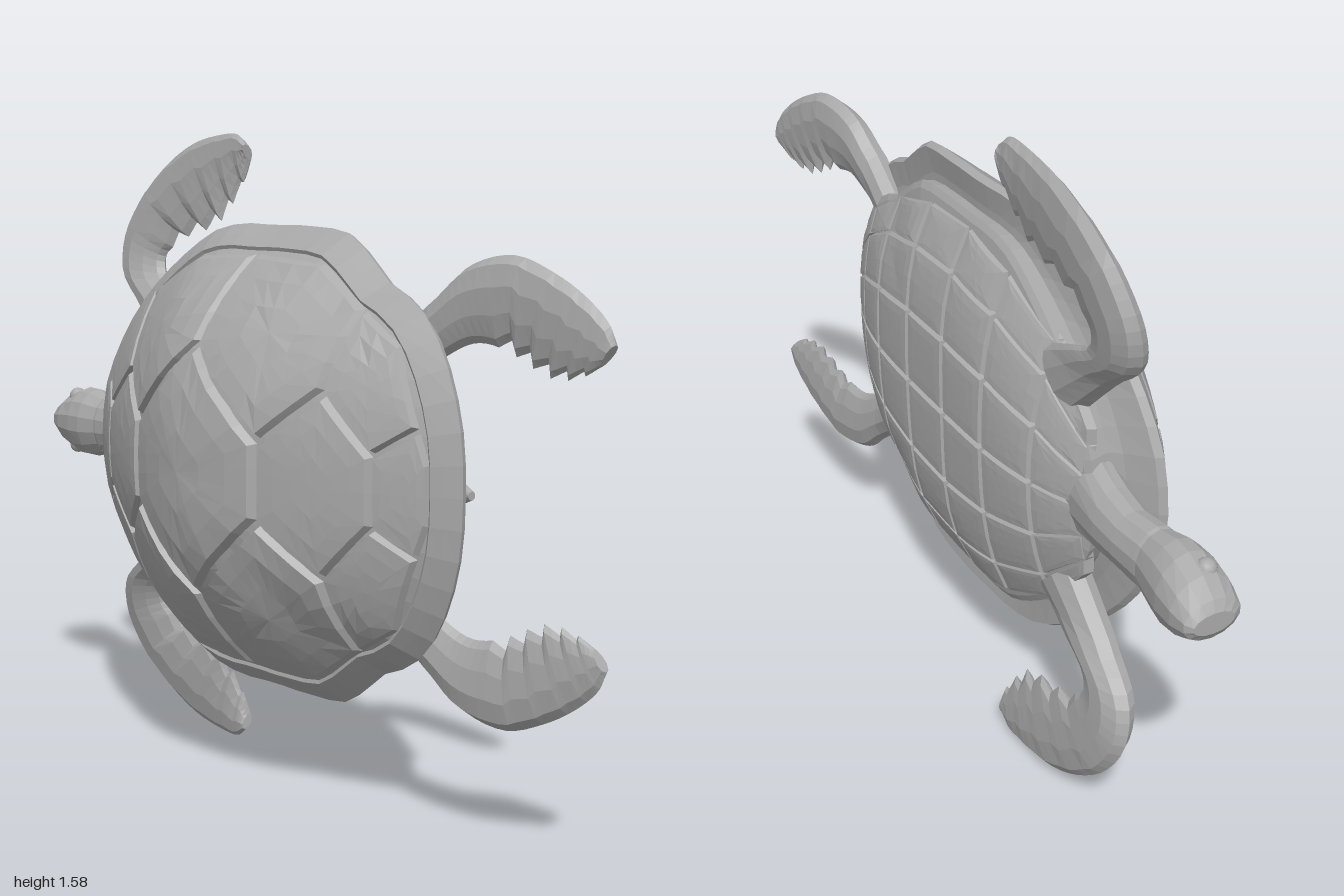
import * as THREE from 'three';

const MID_Y = 0.793; // height of the spine line
const CX = 0.03;     // centre of the shell along x
const V = (x, h, z) => new THREE.Vector3(x, MID_Y + h, z);

// Half outline of the shell from tail to head: x, distance from the spine
const OUTLINE = [[0.71, 0], [0.70, 0.13], [0.66, 0.25], [0.58, 0.37], [0.50, 0.42], [0.42, 0.45],
  [0.36, 0.50], [0.28, 0.55], [0.13, 0.563], [0, 0.562], [-0.2, 0.555], [-0.35, 0.47],
  [-0.45, 0.39], [-0.55, 0.27], [-0.62, 0.14], [-0.64, 0]];
const POLAR = OUTLINE.map(([x, h]) => [Math.atan2(h, x - CX), Math.hypot(x - CX, h)]);

function radius(a) {
  a = Math.abs(Math.atan2(Math.sin(a), Math.cos(a)));
  for (let i = 1; i < POLAR.length; i++) {
    const [a0, r0] = POLAR[i - 1], [a1, r1] = POLAR[i];
    if (a <= a1 + 1e-6) return r0 + (r1 - r0) * (a - a0) / (a1 - a0);
  }
  return POLAR[POLAR.length - 1][1];
}
const rimZ = (a) => -0.02 - 0.02 * Math.cos(a) - 0.07 * Math.sin(a) ** 2;
const domeZ = (a, t) => 0.23 - (0.23 - rimZ(a)) * t ** (1.6 + 0.9 * Math.sin(a) ** 2);
const bellyZ = (a, t) => -0.13 - 0.095 * (1 - Math.min(t, 1) ** 3.5);
const BELLY = 0.86; // belly outline relative to the shell outline

// Height of the upper or lower shell over a point of the side plane
function surface(fn, scale) {
  return (x, h) => {
    const a = Math.atan2(h, x - CX);
    return fn(a, Math.hypot(x - CX, h) / (radius(a) * scale));
  };
}
const topZ = surface(domeZ, 1);
const bottomZ = surface(bellyZ, BELLY);

function faceted(points, index) {
  const g = new THREE.BufferGeometry().setFromPoints(points);
  g.setIndex(index);
  const flat = g.toNonIndexed();
  flat.computeVertexNormals();
  return flat;
}

// Closed skin over a list of rings, capped at both ends and turned outwards
function skin(rings) {
  const n = rings[0].length, pts = rings.flat(), idx = [];
  for (let r = 0; r < rings.length - 1; r++) {
    for (let i = 0; i < n; i++) {
      const a = r * n + i, b = r * n + (i + 1) % n;
      idx.push(a, b, b + n, a, b + n, a + n);
    }
  }
  const cap = (ring, base, flip) => {
    const c = ring.reduce((s, p) => s.add(p), new THREE.Vector3()).divideScalar(n);
    const k = pts.push(c) - 1;
    for (let i = 0; i < n; i++) {
      const a = base + i, b = base + (i + 1) % n;
      idx.push(k, flip ? b : a, flip ? a : b);
    }
  };
  cap(rings[0], 0, true);
  cap(rings[rings.length - 1], (rings.length - 1) * n, false);
  let vol = 0;
  const cross = new THREE.Vector3();
  for (let i = 0; i < idx.length; i += 3) {
    vol += pts[idx[i]].dot(cross.crossVectors(pts[idx[i + 1]], pts[idx[i + 2]]));
  }
  if (vol < 0) idx.reverse();
  return faceted(pts, idx);
}

// Shell ring at a fraction of the outline
function shellRing(t, zFn) {
  return Array.from({ length: 60 }, (_, i) => {
    const a = i / 60 * Math.PI * 2, r = radius(a) * t;
    return V(CX + Math.cos(a) * r, Math.sin(a) * r, zFn(a));
  });
}

// Raised plate following a shell surface, with bevelled edges
function scute(poly, zFn, side) {
  const area = poly.reduce((s, p, i) => {
    const q = poly[(i + 1) % poly.length];
    return s + p[0] * q[1] - q[0] * p[1];
  }, 0);
  const loop = area * side > 0 ? poly : [...poly].reverse();
  const cx = loop.reduce((s, p) => s + p[0], 0) / loop.length;
  const ch = loop.reduce((s, p) => s + p[1], 0) / loop.length;
  const edge = loop.flatMap((p, i) => {
    const q = loop[(i + 1) % loop.length];
    const n = Math.max(1, Math.round(Math.hypot(q[0] - p[0], q[1] - p[1]) / 0.07));
    return Array.from({ length: n }, (_, k) =>
      [p[0] + (q[0] - p[0]) * k / n, p[1] + (q[1] - p[1]) * k / n]);
  });
  const n = edge.length, pts = [V(cx, ch, zFn(cx, ch) + side * 0.004)], idx = [];
  [0.33, 0.66, 0.91, 0.98].forEach((s, r) => {
    edge.forEach(([ex, eh], i) => {
      const x = cx + (ex - cx) * s, h = ch + (eh - ch) * s;
      pts.push(V(x, h, zFn(x, h) + side * [0.004, 0.004, 0.003, -0.02][r]));
      const a = 1 + r * n + i, b = 1 + r * n + (i + 1) % n;
      if (r === 0) idx.push(0, a, b);
      else idx.push(a - n, a, b, a - n, b, b - n);
    });
  });
  return faceted(pts, idx);
}

// Flipper lofted between a leading and a trailing edge, with a toothed trailing edge
function flipper(lead, trail, zFn, thick, mirror) {
  const curve = (list) => new THREE.CatmullRomCurve3(list.map(([x, h]) => new THREE.Vector3(x, h, 0)));
  const A = curve(lead), B = curve(trail), n = 30, rings = [];
  for (let i = 0; i <= n; i++) {
    const t = i / n, a = A.getPoint(t), b = B.getPoint(t);
    if (t > 0.42 && t < 0.88) b.lerp(a, (i % 3) * 0.07);
    const half = thick * (1 - 0.65 * t);
    rings.push(Array.from({ length: 10 }, (_, k) => {
      const w = k / 10 * Math.PI * 2, u = 0.5 - 0.5 * Math.cos(w);
      const p = a.clone().lerp(b, u);
      return V(p.x, p.y * mirror, zFn(p.x, p.y, u) + Math.sin(w) * half * (1.15 - 0.5 * u));
    }));
  }
  return skin(rings);
}

// Body part along x from oval sections: x, centre z, half width, half depth
function ovals(sections) {
  return skin(sections.map(([x, z, ry, rz]) => Array.from({ length: 14 }, (_, i) => {
    const a = i / 14 * Math.PI * 2;
    return V(x, Math.cos(a) * ry, z + Math.sin(a) * rz);
  })));
}

export function createModel() {
  const turtle = new THREE.Group();
  turtle.name = 'seaTurtle';
  const grey = new THREE.MeshStandardMaterial({ color: 0xaaaaaa });
  grey.name = 'grey';
  const add = (name, geometry) => {
    const mesh = new THREE.Mesh(geometry, grey);
    mesh.name = name;
    turtle.add(mesh);
    return mesh;
  };

  // Upper shell: underside, rim, marginal band and sunken bed for the plates
  const bed = [0.895, 0.8, 0.7, 0.6, 0.5, 0.4, 0.3, 0.2, 0.1];
  add('carapace', skin([
    shellRing(0.8, () => -0.1), shellRing(0.88, (a) => rimZ(a) * 0.5 - 0.055),
    shellRing(0.985, (a) => rimZ(a) - 0.018), shellRing(1, rimZ),
    shellRing(0.95, (a) => domeZ(a, 0.95)), shellRing(0.91, (a) => domeZ(a, 0.91)),
    ...bed.map((t) => shellRing(t, (a) => domeZ(a, t) - 0.013))]));

  // Plates along the spine (upper halves, mirrored into full polygons)
  const spine = [
    [[-0.47, 0.10], [-0.535, 0.165], [-0.575, 0.09]],
    [[-0.19, 0.10], [-0.32, 0.21], [-0.47, 0.10]],
    [[0.27, 0.09], [0.03, 0.30], [-0.19, 0.10]],
    [[0.53, 0.08], [0.41, 0.21], [0.27, 0.09]],
    [[0.64, 0.07], [0.615, 0.14], [0.53, 0.08]]];
  spine.forEach((half) => {
    const other = half.map(([x, h]) => [x, -h]).reverse();
    add('vertebralScute', scute([...half, ...other], topZ, 1));
  });
  // Plates on both flanks
  const flank = [
    [[-0.47, 0.10], [-0.32, 0.21], [-0.37, 0.405], [-0.46, 0.33], [-0.535, 0.165]],
    [[-0.32, 0.21], [-0.19, 0.10], [0.03, 0.30], [0.03, 0.505], [-0.18, 0.495], [-0.37, 0.405]],
    [[0.03, 0.30], [0.27, 0.09], [0.41, 0.21], [0.42, 0.39], [0.27, 0.49], [0.03, 0.505]],
    [[0.41, 0.21], [0.53, 0.08], [0.615, 0.14], [0.54, 0.32], [0.42, 0.39]]];

  // Lower shell with its grid of plates
  add('plastron', skin([
    shellRing(BELLY * 0.97, () => -0.07), shellRing(BELLY, () => -0.13),
    ...[0.97, 0.9, 0.8, 0.65, 0.5, 0.3, 0.1].map((t) =>
      shellRing(BELLY * t, (a) => bellyZ(a, t) + (t < 0.95 ? 0.012 : 0)))]));
  const xs = [-0.52, -0.38, -0.2, -0.02, 0.16, 0.34, 0.47, 0.58];
  const halfWidth = (x) => 0.465 * Math.sqrt(1 - ((x - CX) / 0.6) ** 2);

  for (const s of [1, -1]) {
    const side = s > 0 ? 'upper' : 'lower';
    flank.forEach((p) => add(side + 'CostalScute', scute(p.map(([x, h]) => [x, h * s]), topZ, 1)));
    for (let i = 0; i < xs.length - 1; i++) {
      const [x0, x1] = [xs[i], xs[i + 1]], w0 = halfWidth(x0) * s, w1 = halfWidth(x1) * s;
      for (const [f, g] of [[0, 0.42], [0.42, 0.78], [0.78, 1]]) {
        add(side + 'BellyScute',
          scute([[x0, w0 * f], [x1, w1 * f], [x1, w1 * g], [x0, w0 * g]], bottomZ, -1));
      }
    }
    // Long curved front flipper
    add(side + 'FrontFlipper', flipper(
      [[-0.46, 0.20], [-0.60, 0.34], [-0.705, 0.43], [-0.72, 0.53], [-0.67, 0.63], [-0.58, 0.71],
        [-0.47, 0.765], [-0.36, 0.785], [-0.28, 0.785], [-0.245, 0.76]],
      [[-0.34, 0.32], [-0.46, 0.375], [-0.55, 0.42], [-0.565, 0.47], [-0.51, 0.51], [-0.43, 0.535],
        [-0.35, 0.555], [-0.305, 0.60], [-0.265, 0.66], [-0.25, 0.72]],
      (x, h, u) => -0.11 - 0.075 * THREE.MathUtils.clamp((h - 0.33) / 0.45, 0, 1) - 0.025 * u, 0.045, s));
    // Short rear flipper
    add(side + 'RearFlipper', flipper(
      [[0.42, 0.32], [0.56, 0.42], [0.64, 0.49], [0.75, 0.515], [0.85, 0.48], [0.93, 0.43],
        [0.98, 0.38], [0.995, 0.34]],
      [[0.46, 0.20], [0.58, 0.29], [0.66, 0.325], [0.73, 0.315], [0.79, 0.285], [0.85, 0.26],
        [0.91, 0.265], [0.965, 0.295]],
      (x) => -0.1 - 0.085 * THREE.MathUtils.clamp((x - 0.55) / 0.45, 0, 1), 0.045, s));
    // Eye and brow bulge
    const eye = add(side + 'Eye', new THREE.SphereGeometry(0.024, 10, 8));
    eye.position.copy(V(-0.915, 0.068 * s, -0.095));
  }

  // Head with beak, and neck running into the shell
  add('head', ovals([[-1, -0.13, 0.025, 0.05], [-0.985, -0.125, 0.048, 0.07], [-0.94, -0.12, 0.076, 0.08],
    [-0.88, -0.115, 0.095, 0.08], [-0.83, -0.11, 0.094, 0.074], [-0.77, -0.11, 0.08, 0.06]]));
  add('neck', ovals([[-0.82, -0.11, 0.07, 0.055], [-0.76, -0.11, 0.082, 0.06], [-0.68, -0.115, 0.075, 0.058],
    [-0.6, -0.11, 0.085, 0.062], [-0.42, -0.09, 0.13, 0.065]]));
  add('tail', ovals([[0.5, -0.11, 0.07, 0.04], [0.6, -0.1, 0.045, 0.03], [0.69, -0.085, 0.01, 0.01]]));
  return turtle;
}
